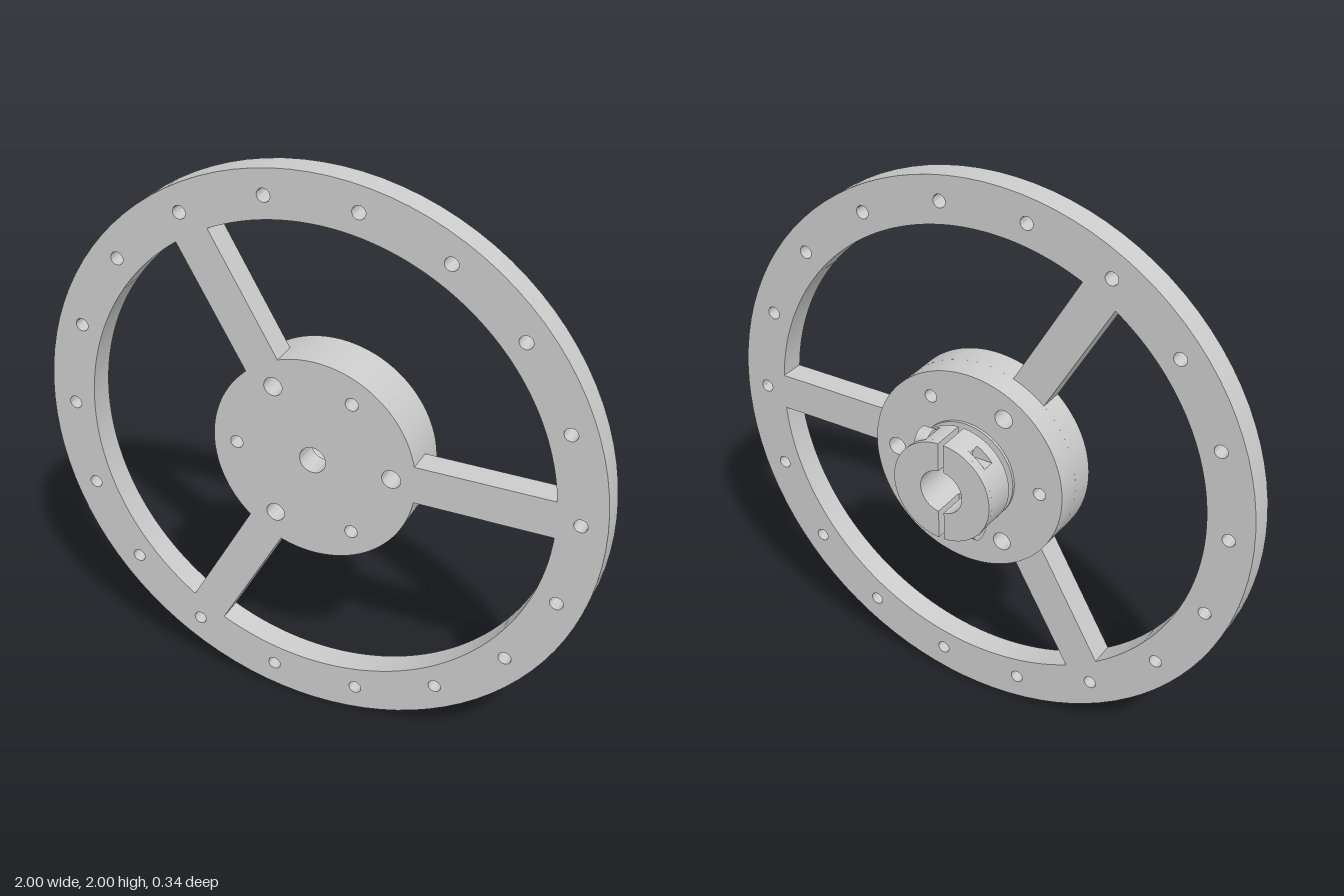
import * as THREE from 'three';
import { toCreasedNormals } from 'three/addons/utils/BufferGeometryUtils.js';

const material = new THREE.MeshStandardMaterial({ color: 0xcccccc });

function add(parent, name, geometry) {
  const mesh = new THREE.Mesh(geometry, material);
  mesh.name = name;
  parent.add(mesh);
  return mesh;
}

// Extrude a flat outline between two depths
function plate(shape, z0, z1, segments = 48) {
  const g = new THREE.ExtrudeGeometry(shape, { depth: z1 - z0, bevelEnabled: false, curveSegments: segments });
  g.translate(0, 0, z0);
  return toCreasedNormals(g, 0.6);
}

const circle = (Type, r, x = 0, y = 0) => new Type().absarc(x, y, r, 0, Math.PI * 2, false);

function drillRing(shape, count, ringRadius, holeRadius, start = 0) {
  for (let i = 0; i < count; i++) {
    const a = start + (i / count) * Math.PI * 2;
    shape.holes.push(circle(THREE.Path, holeRadius, Math.cos(a) * ringRadius, Math.sin(a) * ringRadius));
  }
}

function drillHub(shape) {
  drillRing(shape, 3, 0.28, 0.033);
  drillRing(shape, 3, 0.28, 0.023, Math.PI / 3);
}

// Outline of one clamp half, with optional screw-head pocket and threaded hole
function clampProfile(pocket, tap) {
  const R = 0.185, bore = 0.08, gap = 0.01;
  const s = new THREE.Shape();
  const end = Math.acos(gap / R), inner = Math.acos(gap / bore);
  let from = -end;
  if (tap) {
    s.absarc(0, 0, R, from, -Math.asin(0.163 / R), false);
    s.lineTo(0.06, -0.163);
    s.lineTo(0.06, -0.117);
    from = -Math.asin(0.117 / R);
  }
  if (pocket) {
    s.absarc(0, 0, R, from, Math.asin(0.095 / R), false);
    s.lineTo(0.07, 0.095);
    from = Math.acos(0.07 / R);
  }
  s.absarc(0, 0, R, from, end, false);
  s.absarc(0, 0, bore, inner, -inner, true);
  s.closePath();
  return s;
}

export function createModel() {
  const model = new THREE.Group();
  model.name = 'spokedWheel';
  const body = new THREE.Group();
  body.name = 'wheelAssembly';
  body.position.y = 1;
  model.add(body);

  // Rim, three spokes and centre disc cut from one plate
  const wheel = circle(THREE.Shape, 1);
  const rIn = 0.365, rOut = 0.835, halfSpoke = 0.067;
  for (let i = 0; i < 3; i++) {
    const a = (i * Math.PI * 2) / 3, b = a + (Math.PI * 2) / 3;
    const dIn = Math.asin(halfSpoke / rIn), dOut = Math.asin(halfSpoke / rOut);
    const opening = new THREE.Path();
    opening.absarc(0, 0, rOut, a + dOut, b - dOut, false);
    opening.absarc(0, 0, rIn, b - dIn, a + dIn, true);
    opening.closePath();
    wheel.holes.push(opening);
  }
  drillRing(wheel, 18, 0.913, 0.023);
  drillHub(wheel);
  wheel.holes.push(circle(THREE.Path, 0.047));
  add(body, 'rimAndSpokes', plate(wheel, 0.08, 0.172));

  // Mounting flange behind the wheel
  const flange = circle(THREE.Shape, 0.365);
  drillHub(flange);
  flange.holes.push(circle(THREE.Path, 0.08));
  add(body, 'hubFlange', plate(flange, -0.01, 0.08));

  // Stepped neck between flange and clamp
  for (const [name, r, z0, z1] of [['neckStep', 0.185, -0.02, -0.01], ['neck', 0.14, -0.045, -0.02]]) {
    const s = circle(THREE.Shape, r);
    s.holes.push(circle(THREE.Path, 0.08));
    add(body, name, plate(s, z0, z1));
  }

  // Split clamp: two identical halves, each layered around its screw pockets
  const layers = [
    [-0.17, -0.152, false, false],
    [-0.152, -0.131, true, false],
    [-0.131, -0.085, true, true],
    [-0.085, -0.064, true, false],
    [-0.064, -0.045, false, false],
  ];
  for (let i = 0; i < 2; i++) {
    const half = new THREE.Group();
    half.name = i ? 'rightClampHalf' : 'leftClampHalf';
    half.rotation.z = i * Math.PI;
    body.add(half);
    for (const [z0, z1, pocket, tap] of layers)
      add(half, 'clampLayer', plate(clampProfile(pocket, tap), z0, z1, 32));

    // Socket screw pulling the halves together
    const head = circle(THREE.Shape, 0.042);
    const socket = new THREE.Path();
    for (let k = 0; k < 6; k++) {
      const a = (k * Math.PI) / 3;
      socket[k ? 'lineTo' : 'moveTo'](Math.cos(a) * 0.024, Math.sin(a) * 0.024);
    }
    socket.closePath();
    head.holes.push(socket);
    const screwHead = add(half, 'screwHead', plate(head, 0.07, 0.115, 16));
    screwHead.rotation.y = Math.PI / 2;
    screwHead.position.set(0, 0.14, -0.108);
    const shank = add(half, 'screwShank', new THREE.CylinderGeometry(0.022, 0.022, 0.15, 20));
    shank.rotation.z = Math.PI / 2;
    shank.position.set(0.004, 0.14, -0.108);
  }

  return model;
}
